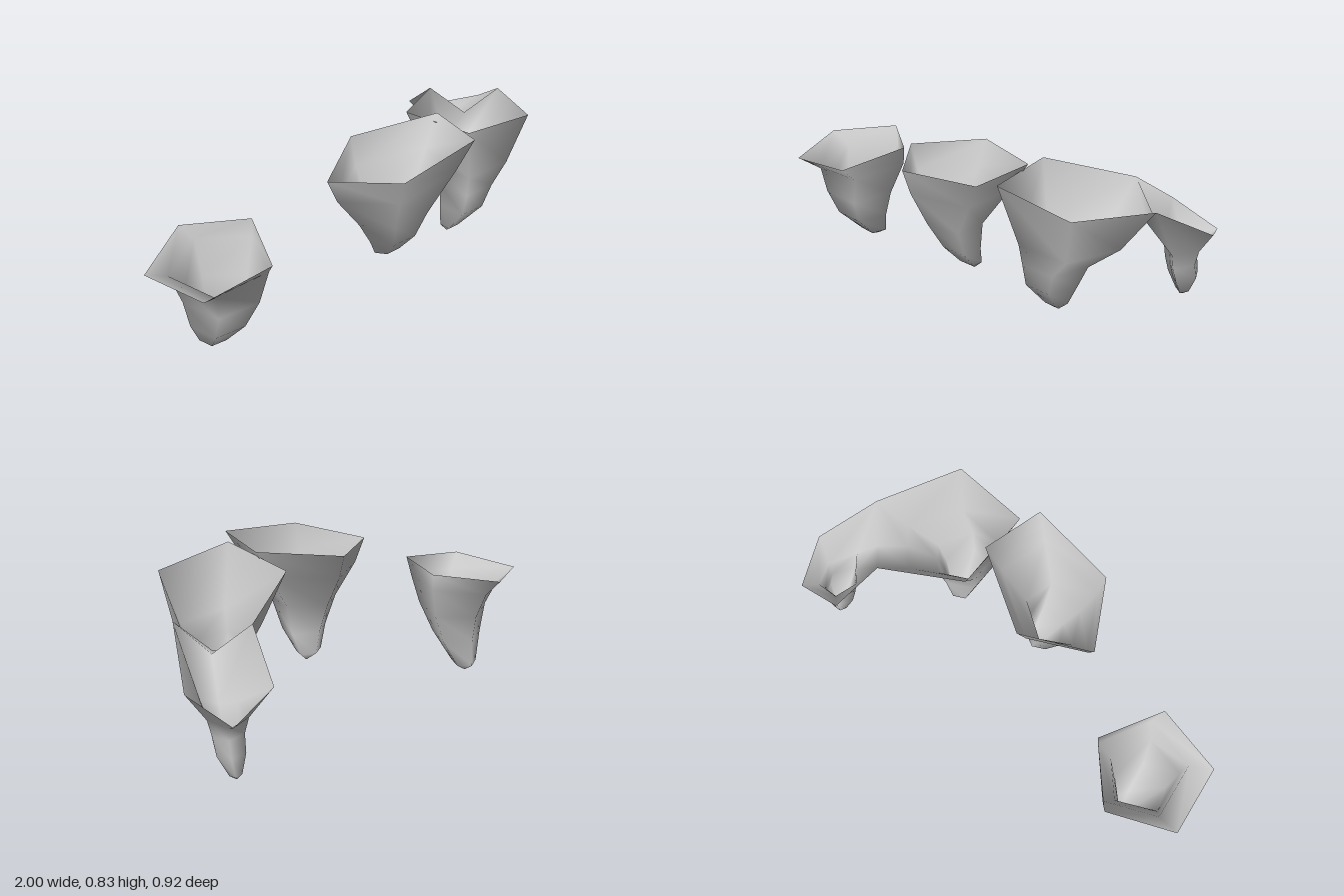
import * as THREE from 'three';
import { mergeGeometries, mergeVertices } from 'three/addons/utils/BufferGeometryUtils.js';

const material = new THREE.MeshStandardMaterial({ color: 0xcccccc, side: THREE.DoubleSide });

// Hollow spike: an open rim [x, y, z], narrowing through rings
// [y, share of rim tilt, xMin, xMax, zMin, zMax] to a blunt tip.
function spikeGeometry(rim, rings, tip) {
  const n = rim.length;
  const range = (k) => [Math.min(...rim.map((p) => p[k])), Math.max(...rim.map((p) => p[k]))];
  const [x0, x1] = range(0);
  const [z0, z1] = range(2);
  const meanY = rim.reduce((sum, p) => sum + p[1], 0) / n;
  const positions = rim.flat();
  for (const [y, tilt, a, b, c, d] of rings) {
    for (const [px, py, pz] of rim) {
      positions.push(
        a + ((px - x0) / (x1 - x0)) * (b - a),
        y + tilt * (py - meanY),
        c + ((pz - z0) / (z1 - z0)) * (d - c)
      );
    }
  }
  positions.push(...tip);

  const index = [];
  const last = rings.length * n;
  for (let i = 0; i < n; i++) {
    const j = (i + 1) % n;
    for (let r = 0; r < last; r += n) {
      index.push(r + i, r + j, r + n + i, r + j, r + n + j, r + n + i);
    }
    index.push(last + i, last + j, last + n);
  }
  const geometry = new THREE.BufferGeometry();
  geometry.setAttribute('position', new THREE.Float32BufferAttribute(positions, 3));
  geometry.setIndex(index);
  return geometry;
}

export function createModel() {
  const group = new THREE.Group();
  const add = (name, geometry) => {
    geometry.computeVertexNormals();
    const mesh = new THREE.Mesh(geometry, material);
    mesh.name = name;
    group.add(mesh);
  };

  // Separate low spike
  add('lowSpike', spikeGeometry(
    [[-1, 0.465, -0.37], [-0.7, 0.515, -0.46], [-0.52, 0.55, -0.21], [-0.7, 0.515, 0.05], [-1, 0.465, -0.05]],
    [
      [0.44, 0.6, -0.9, -0.525, -0.41, 0.0],
      [0.3, 0.1, -0.88, -0.59, -0.345, -0.03],
      [0.16, 0, -0.855, -0.635, -0.322, -0.1],
      [0.035, 0, -0.785, -0.675, -0.328, -0.215],
    ],
    [-0.725, 0, -0.285]
  ));

  // Tall spike in the middle
  add('middleSpike', spikeGeometry(
    [[-0.34, 0.73, 0.05], [-0.03, 0.77, -0.06], [0.27, 0.83, 0.18], [0.16, 0.83, 0.44], [-0.22, 0.77, 0.35]],
    [
      [0.66, 0.7, -0.3, 0.19, -0.02, 0.39],
      [0.49, 0.2, -0.21, 0.065, 0.06, 0.31],
      [0.36, 0, -0.14, 0.048, 0.085, 0.25],
      [0.265, 0, -0.08, 0.035, 0.085, 0.17],
    ],
    [0, 0.23, 0.125]
  ));

  // Two spikes sharing a saddle, opening into one bent trough
  const innerCorner = [0.64, 0.72, -0.1];
  const saddle = [0.74, 0.59, 0.03];
  const outerCorner = [0.815, 0.725, 0.16];
  const large = spikeGeometry(
    [[0.27, 0.785, 0.02], innerCorner, saddle, outerCorner, [0.57, 0.78, 0.46], [0.22, 0.815, 0.375]],
    [
      [0.54, 0, 0.3, 0.69, 0.03, 0.39],
      [0.44, 0, 0.312, 0.565, 0.11, 0.36],
      [0.33, 0, 0.32, 0.52, 0.125, 0.33],
      [0.195, 0, 0.37, 0.46, 0.13, 0.215],
    ],
    [0.415, 0.15, 0.16]
  );
  const small = spikeGeometry(
    [innerCorner, [0.75, 0.55, -0.29], [0.965, 0.46, -0.265], [1, 0.55, -0.055], outerCorner, saddle],
    [
      [0.43, 0.1, 0.77, 0.935, -0.22, 0.0],
      [0.35, 0, 0.783, 0.92, -0.2, -0.035],
      [0.27, 0, 0.795, 0.925, -0.212, -0.07],
      [0.175, 0, 0.83, 0.89, -0.2, -0.14],
    ],
    [0.86, 0.15, -0.182]
  );
  add('joinedSpikes', mergeVertices(mergeGeometries([large, small])));

  return group;
}
